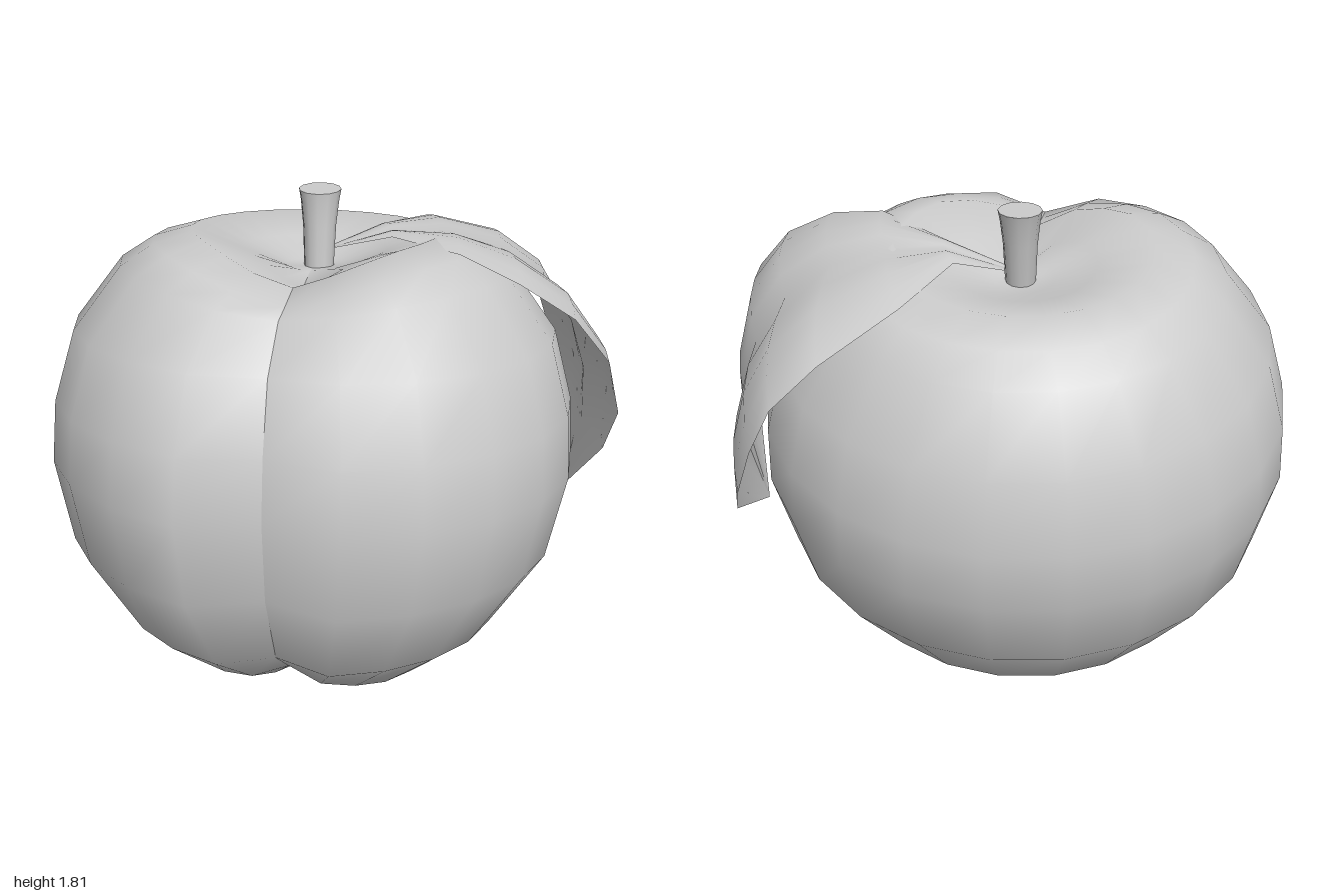
import * as THREE from 'three';

// Smooth surface over a grid of points: at(row, column) returns a Vector3
function gridGeometry(rows, cols, at) {
  const positions = [], index = [];
  for (let r = 0; r <= rows; r++) {
    for (let c = 0; c <= cols; c++) positions.push(...at(r, c).toArray());
  }
  for (let r = 0; r < rows; r++) {
    for (let c = 0; c < cols; c++) {
      const a = r * (cols + 1) + c, b = a + cols + 1;
      index.push(a, b, a + 1, b, b + 1, a + 1);
    }
  }
  const geometry = new THREE.BufferGeometry();
  geometry.setAttribute('position', new THREE.Float32BufferAttribute(positions, 3));
  geometry.setIndex(index);
  geometry.computeVertexNormals();
  return geometry;
}

// Fruit: a turned profile whose first and last columns meet in a sharp crease;
// both rims sink gently toward the crease
function fruitGeometry() {
  const profile = [
    [0, 0.69], [0.1, 0.7], [0.24, 0.76], [0.42, 0.825], [0.55, 0.785], [0.66, 0.71],
    [0.82, 0.49], [0.89, 0.24], [0.905, 0.02], [0.845, -0.28], [0.665, -0.57], [0.43, -0.77],
    [0.26, -0.835], [0.12, -0.79], [0, -0.76],
  ];
  const sides = 22, creaseAngle = -0.07;
  const { smoothstep } = THREE.MathUtils;
  return gridGeometry(profile.length - 1, sides, (row, col) => {
    const [r, y] = profile[row];
    const turn = (col / sides) * Math.PI * 2;
    const angle = creaseAngle + turn;
    const near = Math.exp(-((Math.min(turn, Math.PI * 2 - turn) / 0.6) ** 2));
    const fade = smoothstep(r, 0.05, 0.3);
    const sink = near * fade * (0.11 * smoothstep(y, 0.6, 0.8) - 0.06 * smoothstep(-y, 0.6, 0.8));
    const k = col % sides === 0 ? 1 - 0.13 * fade : 1;
    const height = y * (1 - (1 - k) * 0.25) - sink;
    return new THREE.Vector3(1.04 * r * k * Math.sin(angle), height, r * k * Math.cos(angle));
  });
}

// Leaf: two arched halves between the edges and a sunken midrib
function leafGeometry() {
  const toPoints = (list) => list.map((p) => new THREE.Vector3(...p));
  const front = toPoints([
    [0.0, 1.61, -0.11], [0.21, 1.675, -0.06], [0.45, 1.69, 0.14], [0.65, 1.635, 0.25], [0.83, 1.54, 0.29],
    [0.95, 1.4, 0.3], [1.0, 1.2, 0.25], [0.97, 1.02, 0.16], [0.87, 0.68, -0.18],
  ]);
  const rib = toPoints([
    [0.0, 1.61, -0.135], [0.2, 1.67, -0.14], [0.4, 1.67, -0.15], [0.58, 1.615, -0.17], [0.74, 1.5, -0.19],
    [0.85, 1.34, -0.21], [0.91, 1.15, -0.23], [0.92, 0.95, -0.22], [0.87, 0.68, -0.18],
  ]);
  const back = toPoints([
    [0.0, 1.61, -0.16], [0.16, 1.665, -0.24], [0.3, 1.62, -0.5], [0.53, 1.51, -0.7], [0.67, 1.39, -0.77],
    [0.75, 1.23, -0.76], [0.82, 1.04, -0.7], [0.87, 0.89, -0.57], [0.87, 0.68, -0.18],
  ]);
  const center = new THREE.Vector3(-0.06, 0.86, 0);
  const half = 4, rows = rib.length - 1;
  return gridGeometry(rows, half * 2, (row, col) => {
    const t = Math.abs(col - half) / half;
    const point = rib[row].clone().lerp((col < half ? back : front)[row], t);
    const arch = 0.035 * Math.sin(Math.PI * t) * Math.sin((Math.PI * row) / rows);
    return point.addScaledVector(point.clone().sub(center).normalize(), arch);
  });
}

export function createModel() {
  const model = new THREE.Group();
  model.name = 'creasedFruit';
  const grey = new THREE.MeshStandardMaterial({ color: 0xcccccc });
  const thin = new THREE.MeshStandardMaterial({ color: 0xcccccc, side: THREE.DoubleSide });

  // Body, leaning slightly back
  const body = new THREE.Mesh(fruitGeometry(), grey);
  body.name = 'fruitBody';
  body.position.set(-0.06, 0.865, 0.015);
  body.rotation.x = -0.15;
  model.add(body);

  // Stem, leaning back with a level, flared end
  const stemProfile = [[0.052, 0], [0.058, 0.15], [0.067, 0.235], [0.074, 0.275]];
  const lean = new THREE.Matrix4().makeShear(0, 0, 0, -0.15, 0, 0);
  const stem = new THREE.Group();
  stem.name = 'stem';
  const shaft = new THREE.Mesh(
    new THREE.LatheGeometry(stemProfile.map((p) => new THREE.Vector2(...p)), 12).applyMatrix4(lean), grey);
  shaft.name = 'stemShaft';
  const cap = new THREE.Mesh(new THREE.CircleGeometry(0.074, 12), grey);
  cap.name = 'stemEnd';
  cap.rotation.x = -Math.PI / 2;
  cap.position.set(0, 0.275, -0.041);
  stem.add(shaft, cap);
  stem.position.set(-0.05, 1.54, -0.095);
  model.add(stem);

  // Leaf draped over the model's left side
  const leaf = new THREE.Mesh(leafGeometry(), thin);
  leaf.name = 'leaf';
  model.add(leaf);

  return model;
}
